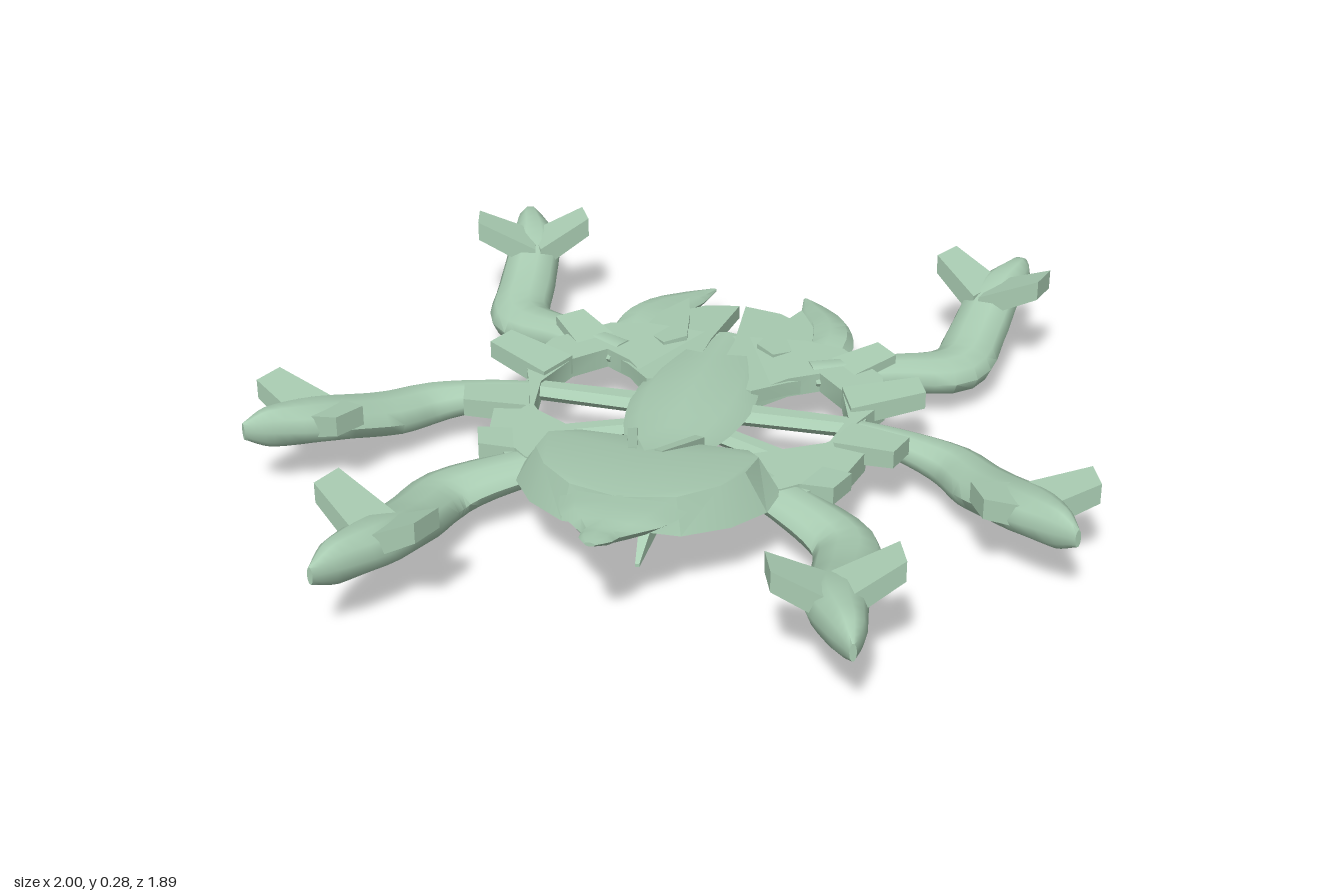
import * as THREE from 'three';
import { toCreasedNormals } from 'three/addons/utils/BufferGeometryUtils.js';

const paleGreen = new THREE.MeshStandardMaterial({ color: 0xa9ccb2, side: THREE.DoubleSide });
paleGreen.name = 'paleGreen';

// Closed body swept through stations [x, y, z, halfWidth, halfHeight]
function loft(stations, sides = 10, steps = 0, crease = 0.7) {
  const path = new THREE.CatmullRomCurve3(stations.map(s => new THREE.Vector3(s[0], s[1], s[2])));
  const size = new THREE.CatmullRomCurve3(stations.map(s => new THREE.Vector3(s[3], s[4], 0)));
  const n = steps || stations.length - 1;
  const grow = sides === 4 ? Math.SQRT2 : 1;
  const pos = [], idx = [], up = new THREE.Vector3(0, 1, 0);
  for (let i = 0; i <= n; i++) {
    const p = path.getPoint(i / n), t = path.getTangent(i / n), s = size.getPoint(i / n);
    const r = up.clone().cross(t).normalize();
    for (let j = 0; j < sides; j++) {
      const a = ((j + (sides === 4 ? 0.5 : 0)) / sides) * Math.PI * 2;
      const c = Math.cos(a) * Math.max(s.x, 0.002) * grow;
      const h = Math.sin(a) * Math.max(s.y, 0.002) * grow;
      pos.push(p.x + r.x * c, p.y + h, p.z + r.z * c);
    }
  }
  for (let i = 0; i < n; i++) for (let j = 0; j < sides; j++) {
    const k = (j + 1) % sides, a = i * sides, b = a + sides;
    idx.push(a + j, a + k, b + k, a + j, b + k, b + j);
  }
  const last = n * sides;
  for (let j = 1; j < sides - 1; j++) idx.push(0, j + 1, j, last, last + j, last + j + 1);
  const g = new THREE.BufferGeometry();
  g.setAttribute('position', new THREE.Float32BufferAttribute(pos, 3));
  g.setIndex(idx);
  return toCreasedNormals(g, crease);
}

// Horizontal slab from [x, z] outlines, optionally raised by a rule
function slab(outline, y, thick, hole, lift) {
  const v = p => p.map(([x, z]) => new THREE.Vector2(x, -z));
  const shape = new THREE.Shape(v(outline));
  if (hole) shape.holes.push(new THREE.Path(v(hole)));
  const g = new THREE.ExtrudeGeometry(shape, { depth: thick, bevelEnabled: false });
  g.rotateX(-Math.PI / 2).translate(0, y, 0);
  if (lift) {
    const p = g.attributes.position;
    for (let i = 0; i < p.count; i++) p.setY(i, p.getY(i) + lift(p.getX(i), p.getZ(i)));
  }
  return toCreasedNormals(g, 0.5);
}

// Open strip between two rows of [x, y, z] points
function strip(top, bottom) {
  const pos = [];
  for (let i = 0; i < top.length - 1; i++)
    pos.push(...top[i], ...bottom[i], ...bottom[i + 1], ...top[i], ...bottom[i + 1], ...top[i + 1]);
  const g = new THREE.BufferGeometry();
  g.setAttribute('position', new THREE.Float32BufferAttribute(pos, 3));
  return toCreasedNormals(g, 0.5);
}

const bothSides = pts => [...pts, ...pts.filter(p => p[0] > 0).reverse().map(([x, ...rest]) => [-x, ...rest])];
const flip = (pts, s) => pts.map(([x, ...rest]) => [x * s, ...rest]);

export function createModel() {
  const model = new THREE.Group();
  const add = (name, geometry) => {
    const m = new THREE.Mesh(geometry, paleGreen);
    m.name = name;
    model.add(m);
  };

  // Central hull with a long crest
  add('hull', loft([
    [0, 0.145, -0.42, 0.065, 0.02], [0, 0.148, -0.31, 0.105, 0.028], [0, 0.152, -0.17, 0.14, 0.04],
    [0, 0.157, -0.04, 0.15, 0.045], [0, 0.163, 0.1, 0.13, 0.045], [0, 0.175, 0.24, 0.085, 0.038],
    [0, 0.21, 0.4, 0.012, 0.03]], 8, 12));

  // Ring frame with the open centre
  add('ringFrame', slab(
    bothSides([[0, -0.4], [0.2, -0.42], [0.3, -0.4], [0.42, -0.28], [0.45, -0.15], [0.4, -0.02],
      [0.45, 0.1], [0.42, 0.24], [0.32, 0.35], [0.2, 0.34], [0.06, 0.36], [0.03, 0.3], [0, 0.3]]),
    0.115, 0.05,
    bothSides([[0, -0.06], [0.12, -0.11], [0.2, -0.21], [0.27, -0.255], [0.34, -0.18], [0.38, -0.05],
      [0.36, 0.07], [0.3, 0.15], [0.22, 0.19], [0.08, 0.2], [0, 0.2]])));

  // Front shell: notched top plate with a flared skirt
  const shellLift = (x, z) => 0.065 * Math.min(1, Math.max(0, (z - 0.22) / 0.15));
  const rim = [[0.2, 0.22], [0.245, 0.32], [0.24, 0.43], [0.2, 0.5], [0.12, 0.57], [0, 0.6]];
  const hem = [[0.24, 0.15, 0.22], [0.3, 0.165, 0.33], [0.29, 0.17, 0.43], [0.23, 0.175, 0.52],
    [0.135, 0.18, 0.59], [0, 0.19, 0.61]];
  add('frontShell', slab(bothSides([[0, 0.39], [0.05, 0.26], [0.08, 0.22], ...rim]), 0.18, 0.02, null, shellLift));
  for (const s of [1, -1])
    add('frontShellSkirt', strip(flip(rim.map(([x, z]) => [x, 0.2 + shellLift(x, z), z]), s), flip(hem, s)));

  // Upturned beak
  add('beak', loft([
    [0, 0.225, 0.5, 0.15, 0.03], [0, 0.23, 0.59, 0.14, 0.035], [0, 0.245, 0.67, 0.11, 0.03],
    [0, 0.258, 0.75, 0.042, 0.02], [0, 0.268, 0.785, 0.036, 0.014], [0, 0.28, 0.825, 0.012, 0.005]], 8, 10));

  // Keel and forward-raked spikes underneath
  add('keel', loft([
    [0, 0.055, -0.4, 0.03, 0.028], [0, 0.052, -0.34, 0.055, 0.032], [0, 0.052, -0.12, 0.065, 0.032],
    [0, 0.055, 0.04, 0.05, 0.028], [0, 0.065, 0.12, 0.02, 0.02]], 8));
  add('keelMount', loft([[0, 0.105, -0.34, 0.06, 0.03], [0, 0.11, 0.24, 0.06, 0.035]], 4));
  for (const [z, y] of [[0.46, 0.006], [0.28, 0.014]])
    add('lowerSpike', loft([[0, 0.1, z - 0.24, 0.02, 0.03], [0, 0.065, z - 0.11, 0.02, 0.03],
      [0, y, z, 0.005, 0.004]], 4));

  // Legs: path stations and the cross fin (one end, middle, other end)
  const legs = [
    { name: 'rearLeg',
      path: [[0.24, 0.14, -0.29, 0.05, 0.03], [0.42, 0.12, -0.385, 0.06, 0.045], [0.57, 0.1, -0.485, 0.078, 0.052],
        [0.6, 0.125, -0.63, 0.075, 0.055], [0.625, 0.17, -0.78, 0.068, 0.055], [0.67, 0.185, -0.89, 0.035, 0.052],
        [0.682, 0.187, -0.945, 0.008, 0.022]],
      fin: [[0.49, 0.245, -0.815], [0.61, 0.175, -0.75], [0.755, 0.25, -0.71]] },
    { name: 'middleLeg',
      path: [[0.38, 0.14, -0.04, 0.035, 0.025], [0.5, 0.12, -0.035, 0.045, 0.035], [0.64, 0.1, 0.005, 0.065, 0.048],
        [0.72, 0.11, 0.1, 0.075, 0.052], [0.83, 0.155, 0.24, 0.078, 0.052], [0.925, 0.175, 0.345, 0.038, 0.05],
        [0.968, 0.18, 0.388, 0.008, 0.022]],
      fin: [[0.735, 0.195, 0.305], [0.85, 0.155, 0.24], [0.985, 0.205, 0.19]] },
    { name: 'frontLeg',
      path: [[0.22, 0.15, 0.27, 0.06, 0.03], [0.34, 0.13, 0.335, 0.065, 0.04], [0.465, 0.1, 0.42, 0.078, 0.052],
        [0.49, 0.115, 0.56, 0.075, 0.056], [0.505, 0.165, 0.74, 0.072, 0.056], [0.555, 0.18, 0.87, 0.042, 0.053],
        [0.58, 0.183, 0.94, 0.008, 0.022]],
      fin: [[0.37, 0.25, 0.79], [0.5, 0.17, 0.74], [0.635, 0.255, 0.69]] },
  ];
  // Square blocks around the ring: inner and outer end
  const tabs = [
    [[0.36, 0.15, -0.13], [0.53, 0.175, -0.2]], [[0.38, 0.15, 0.04], [0.53, 0.165, 0.085]],
    [[0.29, 0.135, -0.28], [0.41, 0.16, -0.395]], [[0.29, 0.14, 0.23], [0.43, 0.165, 0.28]],
  ];

  for (const s of [1, -1]) {
    const side = s > 0 ? 'left' : 'right';
    for (const leg of legs) {
      const name = side + leg.name[0].toUpperCase() + leg.name.slice(1);
      add(name, loft(flip(leg.path, s), 10, 24, 0.9));
      // Twin foot fins rising outwards from the foot
      const [a, mid, b] = leg.fin;
      for (const end of [a, b])
        add(name + 'Fin', loft(flip([[...mid, 0.062, 0.03], [...end, 0.04, 0.025]], s), 4));
    }
    for (const [a, b] of tabs)
      add(side + 'RingBlock', loft(flip([[...a, 0.055, 0.025], [...b, 0.04, 0.022]], s), 4));

    // Split rear shell, falling towards the back
    const rearLift = (x, z) => 0.04 * (1 - Math.abs(x) / 0.3) + 0.06 * (z + 0.12);
    add(side + 'RearShell', slab(flip([[0.03, -0.36], [0.008, -0.58], [0.1, -0.585], [0.2, -0.53], [0.29, -0.42],
      [0.27, -0.27], [0.2, -0.2], [0.13, -0.11], [0.03, -0.12]], s), 0.115, 0.035, null, rearLift));
    // Swept rear horns
    add(side + 'Horn', loft(flip([[0.24, 0.13, -0.34, 0.055, 0.025], [0.25, 0.125, -0.48, 0.06, 0.035],
      [0.22, 0.115, -0.6, 0.055, 0.03], [0.165, 0.1, -0.71, 0.036, 0.02], [0.124, 0.095, -0.79, 0.006, 0.005]], s), 8, 12));
    // Raised plates on the rear shell and blades beside the hull nose
    add(side + 'RearPlate', slab(flip([[0.09, -0.35], [0.14, -0.31], [0.22, -0.4], [0.2, -0.52], [0.15, -0.61],
      [0.12, -0.5]], s), 0.138, 0.025, null, rearLift));
    add(side + 'FrontBlade', loft(flip([[0.08, 0.18, 0.2, 0.012, 0.03], [0.03, 0.235, 0.38, 0.01, 0.03]], s), 4));
    // Shoulder plates beside the front shell
    add(side + 'ShoulderPlate', slab(flip([[0.05, 0.2], [0.2, 0.19], [0.37, 0.09], [0.42, 0.22], [0.3, 0.33],
      [0.2, 0.36], [0.06, 0.36]], s), 0.145, 0.03));
    // Struts across the opening
    add(side + 'MainStrut', loft(flip([[0.08, 0.14, -0.05, 0.04, 0.022], [0.42, 0.14, -0.05, 0.03, 0.022]], s), 6));
    add(side + 'LowerStrut', loft(flip([[0.06, 0.13, 0.03, 0.03, 0.02], [0.32, 0.13, 0.15, 0.03, 0.02]], s), 6));
  }
  return model;
}
